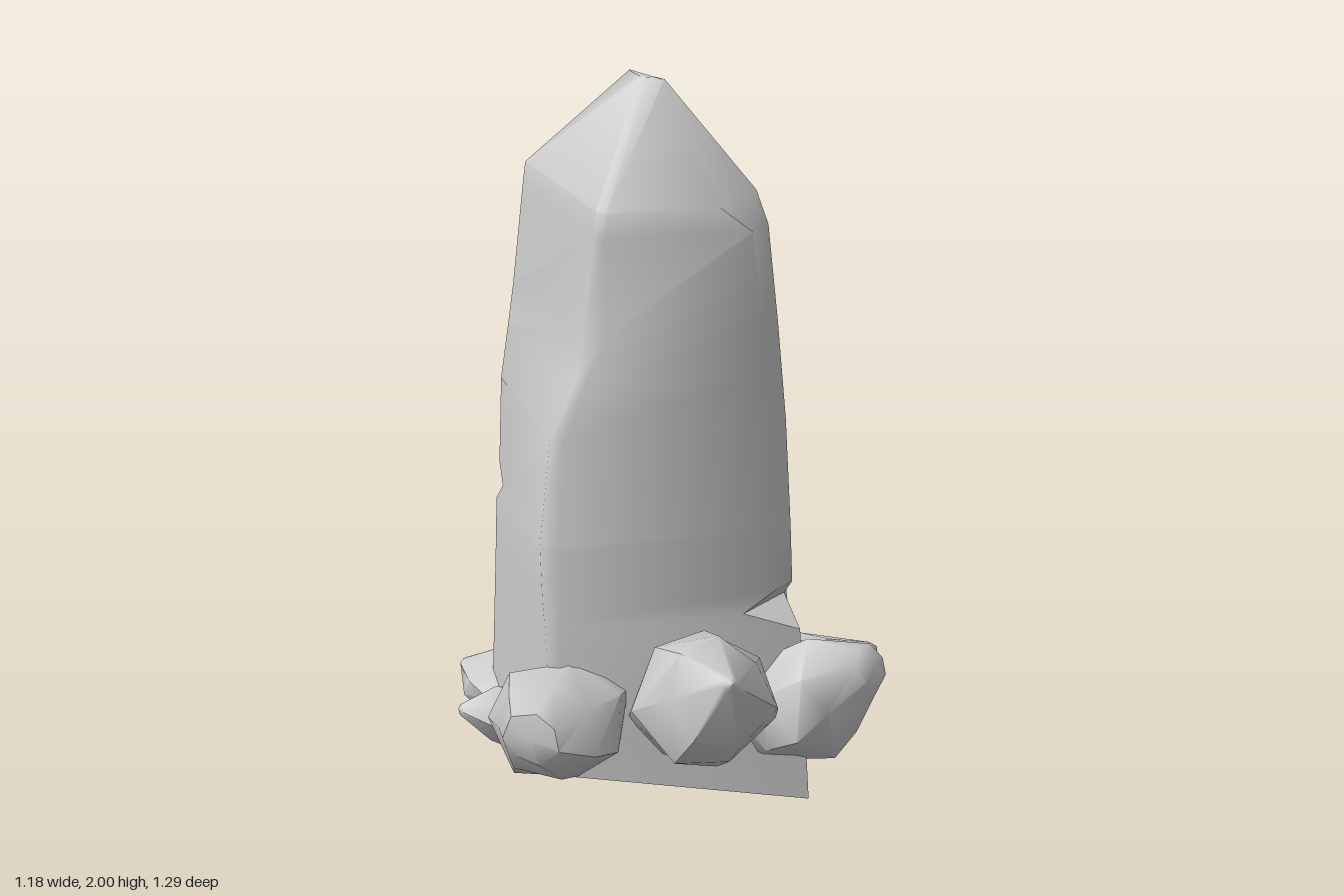
import * as THREE from 'three';
import { toCreasedNormals } from 'three/addons/utils/BufferGeometryUtils.js';

const stone = new THREE.MeshStandardMaterial({ color: 0xcccccc, side: THREE.DoubleSide });

// The four long edges of the main crystal as [y, x, z] points, from base to apex.
const frontLeftEdge = [[0.08, 0.27, 0.25], [0.59, 0.255, 0.21], [1.09, 0.245, 0.16], [1.7, 0.2, 0.155], [1.985, -0.02, -0.1]];
const backLeftEdge = [[0.08, 0.27, -0.49], [0.59, 0.25, -0.44], [1.09, 0.25, -0.495], [1.36, 0.22, -0.42], [1.7, 0.165, -0.355], [1.985, -0.05, -0.14]];
const backRightEdge = [[0.08, -0.4, -0.47], [0.59, -0.4, -0.43], [1.09, -0.39, -0.44], [1.7, -0.34, -0.385], [2, -0.115, -0.17]];
const frontRightEdge = [[0.18, -0.4, 0.19], [0.79, -0.435, 0.18], [1.09, -0.4, 0.15], [1.24, -0.33, 0.14], [1.36, -0.295, 0.125], [1.7, -0.26, 0.1], [1.99, -0.08, -0.125]];
const edges = [frontLeftEdge, backLeftEdge, backRightEdge, frontRightEdge];

// Point on an edge at a height, held within the edge's ends.
function pointOn(edge, height) {
  const y = THREE.MathUtils.clamp(height, edge[0][0], edge.at(-1)[0]);
  const k = Math.max(1, edge.findIndex((p) => p[0] >= y));
  const [a, b] = [edge[k - 1], edge[k]];
  const t = (y - a[0]) / (b[0] - a[0]);
  return new THREE.Vector3(THREE.MathUtils.lerp(a[1], b[1], t), y, THREE.MathUtils.lerp(a[2], b[2], t));
}

// Rings of the main crystal: chamfer of each edge, and how far a chip's ledge dips there.
const rings = [
  { y: 0.08, cut: [0, 0.06, 0, 0.02] },
  // front left chip
  { y: 0.59, cut: [0, 0.06, 0, 0.03], dip: [0.05, 0, 0, 0] },
  { y: 0.592, cut: [0.15, 0.06, 0, 0.03] },
  { y: 0.65, cut: [0.06, 0.06, 0, 0.04] },
  // back right chip
  { y: 0.8, cut: [0.05, 0.07, 0, 0.04], dip: [0, 0, 0.05, 0] },
  { y: 0.81, cut: [0.05, 0.07, 0.08, 0.04] },
  { y: 0.86, cut: [0.05, 0.07, 0.03, 0.04] },
  { y: 1.09, cut: [0.05, 0.08, 0.03, 0.03] },
  { y: 1.24, cut: [0.05, 0.08, 0.03, 0.02] },
  // broken front right edge
  { y: 1.36, cut: [0.05, 0.08, 0.03, 0.04] },
  { y: 1.63, cut: [0.06, 0.08, 0.02, 0.02] },
  { y: 1.7, cut: [0.14, 0.07, 0.02, 0.02] },
  { y: 2, cut: [0.01, 0.01, 0.01, 0.01] },
];

// Eight points, counter-clockwise from above: every corner is cut towards both neighbours.
function chamferedRing({ y, cut, dip = [0, 0, 0, 0] }) {
  const corners = edges.map((edge, i) => pointOn(edge, y - dip[i]));
  return corners.flatMap((p, i) => [3, 1].map((step) => {
    const dir = corners[(i + step) % 4].clone().sub(p).setY(0).normalize();
    return p.clone().addScaledVector(dir, cut[i]);
  }));
}

// Skin between successive rings, with a flat cap on the last one.
function loft(sections) {
  const n = sections[0].length, index = [];
  for (let r = 0; r < sections.length - 1; r++) {
    for (let i = 0; i < n; i++) {
      const a = r * n + i, b = r * n + (i + 1) % n;
      index.push(a, b, b + n, a, b + n, a + n);
    }
  }
  const top = (sections.length - 1) * n;
  for (let i = 1; i < n - 1; i++) index.push(top, top + i, top + i + 1);
  return new THREE.BufferGeometry().setFromPoints(sections.flat()).setIndex(index);
}

// Blunt faceted crystal growing from one point to another; w is sideways, h upright radius.
function makeShard({ from, to, w, h, tip, turn }) {
  const a = new THREE.Vector3(...from), dir = new THREE.Vector3(...to).sub(a);
  const profile = [[0, 0], [0.6, 0], [0.92, 0.28], [1, 0.5], [0.8, 0.74], [tip, 0.97], [0, 1]]
    .map(([r, t]) => new THREE.Vector2(r, t));
  const g = new THREE.LatheGeometry(profile, 7);
  g.rotateY(turn);
  // uneven facets
  const p = g.attributes.position;
  for (let i = 0; i < p.count; i++) {
    const x = p.getX(i), y = p.getY(i), z = p.getZ(i);
    const k = 1 + 0.1 * Math.sin(5 * x + 9 * y + 4 * z + turn * 7);
    p.setXYZ(i, x * k, y + 0.06 * Math.sin(3 * x - 4 * z + turn) * Math.sin(Math.PI * y), z * k);
  }
  const length = dir.length();
  dir.normalize();
  const side = new THREE.Vector3(0, 1, 0).cross(dir).normalize();
  const back = side.clone().cross(dir);
  g.applyMatrix4(new THREE.Matrix4().makeBasis(
    side.multiplyScalar(w), dir.multiplyScalar(length), back.multiplyScalar(h)).setPosition(a));
  g.deleteAttribute('normal');
  g.deleteAttribute('uv');
  return toCreasedNormals(g, 0.9);
}

const shards = {
  frontShard: { from: [-0.04, 0.29, 0.08], to: [-0.04, 0.55, 0.635], w: 0.185, h: 0.19, tip: 0.12, turn: 0.3 },
  frontLeftShard: { from: [0.13, 0.22, 0.05], to: [0.42, 0.48, 0.37], w: 0.165, h: 0.165, tip: 0.35, turn: 0.8 },
  frontRightShard: { from: [-0.27, 0.31, 0.0], to: [-0.52, 0.35, 0.37], w: 0.185, h: 0.165, tip: 0.42, turn: 1.2 },
  rightShard: { from: [-0.28, 0.22, -0.11], to: [-0.59, 0.29, -0.1], w: 0.09, h: 0.085, tip: 0.2, turn: 0.5 },
  smallRightShard: { from: [-0.3, 0.17, -0.28], to: [-0.47, 0.22, -0.28], w: 0.09, h: 0.08, tip: 0.5, turn: 0.2 },
  backRightShard: { from: [-0.24, 0.16, -0.33], to: [-0.44, 0.24, -0.62], w: 0.13, h: 0.09, tip: 0.15, turn: 0.9 },
  backShard: { from: [-0.09, 0.15, -0.36], to: [-0.11, 0.21, -0.52], w: 0.11, h: 0.085, tip: 0.5, turn: 1.5 },
  backLeftShard: { from: [0.07, 0.23, -0.3], to: [0.4, 0.42, -0.61], w: 0.165, h: 0.17, tip: 0.32, turn: 0.4 },
  leftShard: { from: [0.1, 0.1, -0.21], to: [0.59, 0.31, -0.25], w: 0.165, h: 0.17, tip: 0.12, turn: 1.0 },
  smallLeftShard: { from: [0.2, 0.31, -0.01], to: [0.44, 0.31, -0.02], w: 0.075, h: 0.065, tip: 0.3, turn: 0.6 },
};

export function createModel() {
  const model = new THREE.Group();
  model.name = 'crystalCluster';
  const add = (name, geometry) => {
    const mesh = new THREE.Mesh(geometry, stone);
    mesh.name = name;
    model.add(mesh);
  };
  add('mainCrystal', toCreasedNormals(loft(rings.map(chamferedRing)), 0.85));
  for (const [name, spec] of Object.entries(shards)) add(name, makeShard(spec));
  return model;
}
